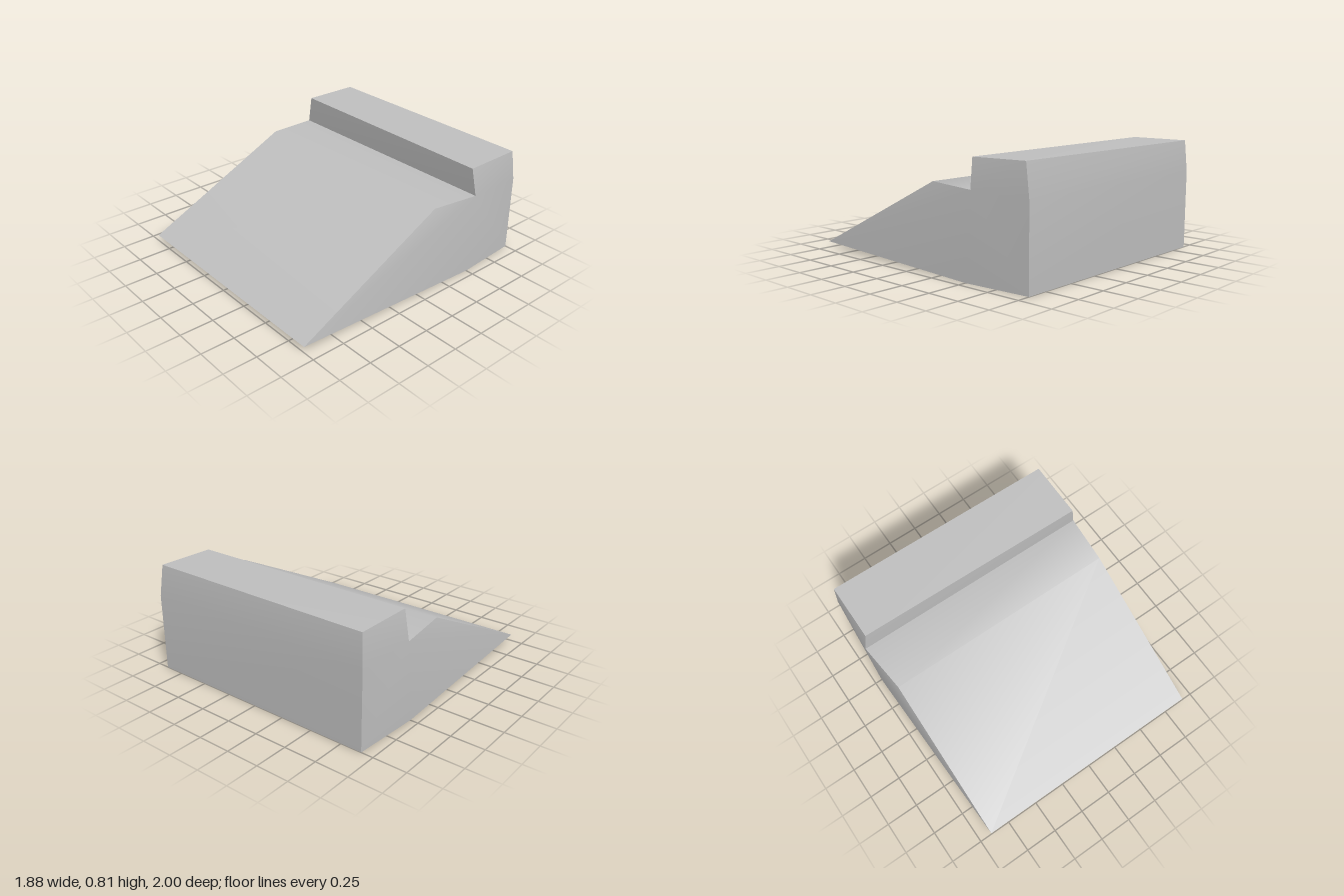
import * as THREE from 'three';
import { toCreasedNormals } from 'three/addons/utils/BufferGeometryUtils.js';

// Outline from the front tip over the top and round underneath.
// Each row holds the corner on the -x flank and on the +x flank.
const OUTLINE = [
  [[-0.905, 0.05, 1.0], [0.91, 0.045, 1.0]], // ramp tip
  [[-0.9, 0.615, -0.16], [0.895, 0.615, -0.16]], // ramp crest
  [[-0.94, 0.6, -0.55], [0.93, 0.6, -0.54]], // foot of the lip
  [[-0.9, 0.815, -0.545], [0.895, 0.803, -0.525]], // lip top, front
  [[-0.9, 0.815, -0.985], [0.895, 0.81, -0.965]], // lip top, back
  [[-0.915, 0.58, -1.0], [0.905, 0.58, -1.0]], // back wall bend
  [[-0.91, 0, -1.0], [0.905, 0, -1.0]], // back wall foot
  [[-0.945, 0.005, -0.5], [0.94, 0, -0.5]], // underside bend
];
const LIP_FOOT = 2;

function wedgeGeometry() {
  const n = OUTLINE.length;
  const positions = [];
  const triangle = (...corners) => corners.forEach((c) => positions.push(...c));

  for (let i = 0; i < n; i++) {
    const [a, b] = OUTLINE[i];
    const [c, d] = OUTLINE[(i + 1) % n];
    // Strip across the width
    triangle(a, b, d);
    triangle(a, d, c);
    // Flanks fan out from the inner corner of the notch
    if (i !== LIP_FOOT && (i + 1) % n !== LIP_FOOT) {
      const [footA, footB] = OUTLINE[LIP_FOOT];
      triangle(footA, a, c);
      triangle(footB, d, b);
    }
  }

  const geometry = new THREE.BufferGeometry();
  geometry.setAttribute('position', new THREE.Float32BufferAttribute(positions, 3));
  return toCreasedNormals(geometry, 0.6);
}

export function createModel() {
  const group = new THREE.Group();
  group.name = 'rampBlock';

  const grey = new THREE.MeshStandardMaterial({ color: 0xc0c0c0 });
  grey.name = 'lightGrey';

  const body = new THREE.Mesh(wedgeGeometry(), grey);
  body.name = 'rampWithLip';
  group.add(body);
  return group;
}
